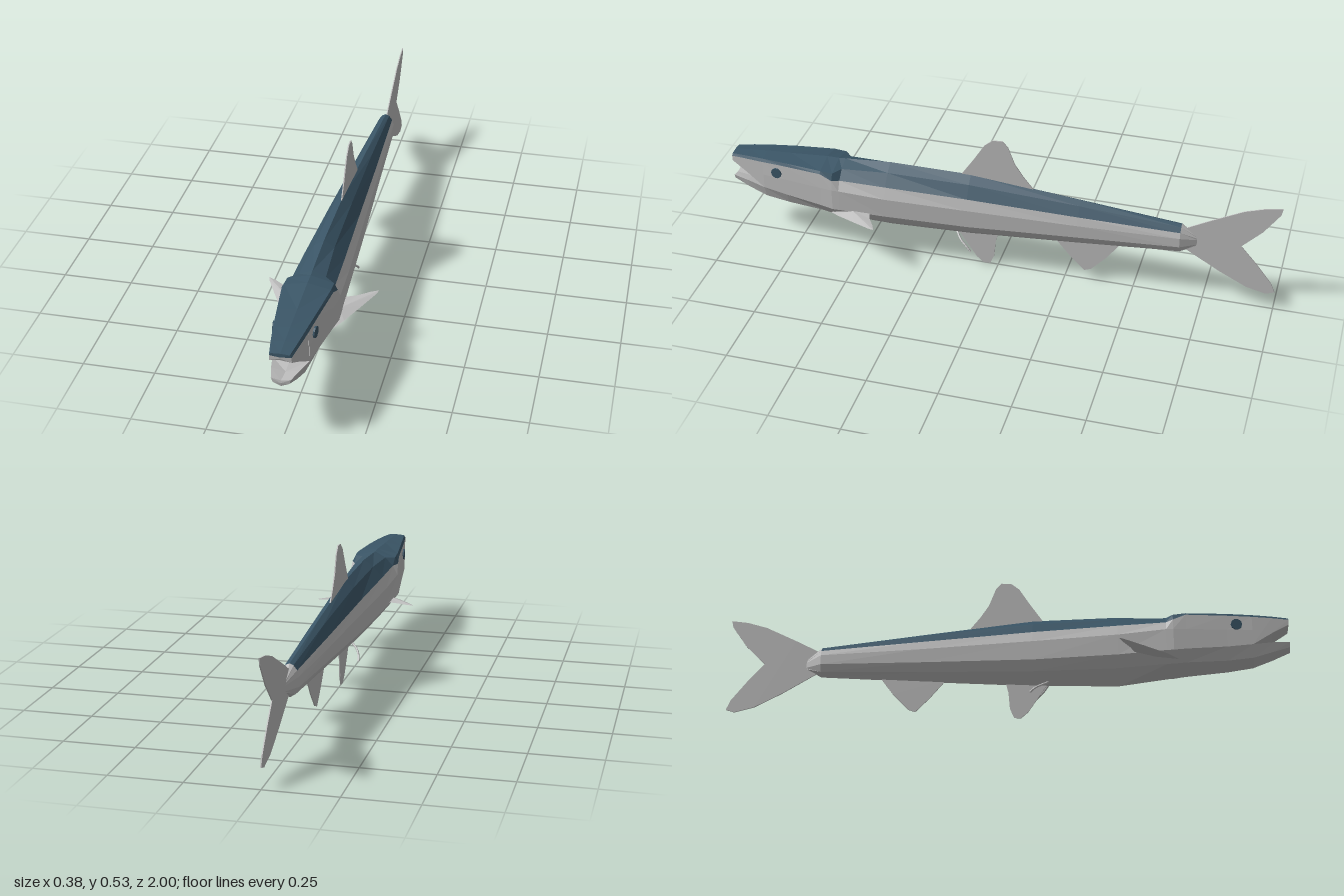
import * as THREE from 'three';

const silver = new THREE.MeshStandardMaterial({ color: 0xbdbdbd, side: THREE.DoubleSide });
silver.name = 'silver';
const slate = new THREE.MeshStandardMaterial({ color: 0x3a5566, side: THREE.DoubleSide });
slate.name = 'slate blue';
for (const m of [silver, slate]) m.flatShading = true;

// Mirrored loft: each section is [z, [x, y], ...] from top to bottom, front to rear.
// Only the strips between points a and b are built.
function loft(name, sections, a, b, material) {
  const pos = [];
  const at = (i, j, s) => [s * sections[i][j + 1][0], sections[i][j + 1][1], sections[i][0]];
  for (const s of [1, -1])
    for (let i = 0; i < sections.length - 1; i++)
      for (let j = a; j < b; j++) {
        const A = at(i, j, s), B = at(i, j + 1, s), C = at(i + 1, j, s), D = at(i + 1, j + 1, s);
        if (s > 0) pos.push(...A, ...B, ...D, ...A, ...D, ...C);
        else pos.push(...A, ...D, ...B, ...A, ...C, ...D);
      }
  return meshFrom(name, pos, material);
}

function meshFrom(name, pos, material) {
  const g = new THREE.BufferGeometry();
  g.setAttribute('position', new THREE.Float32BufferAttribute(pos, 3));
  g.computeVertexNormals();
  return named(name, g, material);
}

function named(name, geometry, material) {
  const mesh = new THREE.Mesh(geometry, material);
  mesh.name = name;
  return mesh;
}

// Thin upright fin on the centre line, outlined by [z, y] points
function fin(name, points) {
  const shape = new THREE.Shape(points.map(([z, y]) => new THREE.Vector2(-z, y)));
  const g = new THREE.ExtrudeGeometry(shape, { depth: 0.004, bevelEnabled: false });
  g.translate(0, 0, -0.002).rotateY(Math.PI / 2);
  return named(name, g, silver);
}

export function createModel() {
  const fish = new THREE.Group();
  fish.name = 'fish';

  // Head and body, with a small step behind the gill covers
  const body = [
    [0.87, [0, 0.347], [0.05, 0.342], [0.057, 0.332], [0.06, 0.28], [0.06, 0.225], [0.045, 0.18], [0, 0.163]],
    [0.78, [0, 0.352], [0.062, 0.345], [0.068, 0.335], [0.07, 0.28], [0.07, 0.215], [0.05, 0.17], [0, 0.148]],
    [0.64, [0, 0.362], [0.078, 0.346], [0.085, 0.337], [0.088, 0.28], [0.088, 0.205], [0.06, 0.165], [0, 0.137]],
    [0.595, [0, 0.362], [0.078, 0.342], [0.09, 0.318], [0.094, 0.28], [0.094, 0.2], [0.065, 0.16], [0, 0.132]],
    [0.57, [0, 0.364], [0.045, 0.346], [0.075, 0.315], [0.093, 0.28], [0.093, 0.2], [0.064, 0.16], [0, 0.13]],
    [0.4, [0, 0.377], [0.035, 0.352], [0.07, 0.312], [0.086, 0.27], [0.083, 0.195], [0.055, 0.155], [0, 0.11]],
    [0.1, [0, 0.376], [0.03, 0.35], [0.058, 0.306], [0.07, 0.265], [0.068, 0.195], [0.045, 0.16], [0, 0.123]],
    [-0.3, [0, 0.338], [0.02, 0.325], [0.042, 0.292], [0.05, 0.26], [0.048, 0.21], [0.03, 0.18], [0, 0.155]],
    [-0.66, [0, 0.302], [0.013, 0.296], [0.025, 0.28], [0.032, 0.26], [0.032, 0.225], [0.02, 0.2], [0, 0.187]],
  ];
  fish.add(loft('back', body, 0, 2, slate), loft('flanks', body, 2, 6, silver));

  // Tail root closing to a point
  const root = body[body.length - 1];
  const tip = [-0.72, ...root.slice(1).map(([, y]) => [0, 0.238 + (y - 0.238) * 0.3])];
  fish.add(loft('tailRoot', [root, tip], 0, 6, silver));

  // Upper jaw: dark snout, silver lip and palate
  const upper = [
    [1, [0, 0.322], [0, 0.322], [0, 0.322], [0, 0.318], [0, 0.318]],
    [0.998, [0, 0.335], [0.03, 0.333], [0.036, 0.325], [0.036, 0.306], [0, 0.311]],
    [0.94, [0, 0.341], [0.04, 0.338], [0.046, 0.329], [0.047, 0.272], [0, 0.28]],
    [0.87, [0, 0.347], [0.05, 0.342], [0.057, 0.332], [0.06, 0.225], [0, 0.23]],
  ];
  fish.add(loft('snout', upper, 0, 2, slate), loft('upperJaw', upper, 2, 4, silver));

  // Lower jaw
  const lower = [
    [1, [0, 0.225], [0, 0.225], [0, 0.225], [0, 0.225]],
    [0.998, [0, 0.234], [0.032, 0.24], [0.026, 0.224], [0, 0.213]],
    [0.94, [0, 0.226], [0.046, 0.236], [0.037, 0.203], [0, 0.189]],
    [0.87, [0, 0.23], [0.06, 0.225], [0.045, 0.18], [0, 0.163]],
  ];
  fish.add(loft('lowerJaw', lower, 0, 3, silver));

  // Centre line fins
  fish.add(
    fin('dorsalFin', [[0.14, 0.365], [0.09, 0.44], [0.05, 0.505], [0.02, 0.53], [-0.015, 0.532],
      [-0.035, 0.51], [-0.06, 0.445], [-0.09, 0.4], [-0.13, 0.35]]),
    fin('bellyFin', [[0.15, 0.13], [0.11, 0.07], [0.08, 0.025], [0.055, 0.003], [0.03, 0.004],
      [0.015, 0.04], [0.01, 0.1], [0.0, 0.14]]),
    fin('analFin', [[-0.21, 0.16], [-0.27, 0.09], [-0.32, 0.04], [-0.345, 0.05], [-0.4, 0.11], [-0.45, 0.18]]),
    fin('tailFin', [[-0.66, 0.28], [-0.76, 0.335], [-0.87, 0.392], [-0.94, 0.415], [-1, 0.425], [-0.995, 0.4],
      [-0.94, 0.32], [-0.87, 0.248], [-0.93, 0.18], [-0.985, 0.11], [-1, 0.075], [-0.97, 0.064],
      [-0.9, 0.08], [-0.8, 0.13], [-0.68, 0.2]]),
  );

  // Paired parts
  for (const s of [1, -1]) {
    const side = s > 0 ? 'left' : 'right';

    // Pectoral fin: a wedge with upper and lower skins over one outline
    const rim = [[0.075, 0.172, 0.61], [0.105, 0.182, 0.57], [0.15, 0.195, 0.49], [0.185, 0.205, 0.425],
      [0.19, 0.208, 0.408], [0.165, 0.206, 0.418], [0.12, 0.202, 0.445], [0.08, 0.2, 0.46]];
    const pos = [];
    for (const lift of [0.012, -0.008]) {
      const hub = [0.08, 0.19 + lift, 0.53];
      for (let i = 0; i < rim.length; i++) {
        const p = rim[i], q = rim[(i + 1) % rim.length];
        const tri = (lift > 0) === (s > 0) ? [hub, p, q] : [hub, q, p];
        for (const [x, y, z] of tri) pos.push(s * x, y, z);
      }
    }
    fish.add(meshFrom(side + 'PectoralFin', pos, silver));

    // Curled belly ray
    const path = new THREE.CatmullRomCurve3([[0.012, 0.13, 0.15], [0.035, 0.112, 0.13], [0.048, 0.094, 0.105],
      [0.052, 0.078, 0.09]].map(([x, y, z]) => new THREE.Vector3(s * x, y, z)));
    fish.add(named(side + 'BellyRay', new THREE.TubeGeometry(path, 8, 0.004, 5), silver));

    // Eye disc
    const eye = named(side + 'Eye', new THREE.CylinderGeometry(0.02, 0.02, 0.008, 10).rotateZ(Math.PI / 2), slate);
    eye.position.set(s * 0.0665, 0.3, 0.815);
    eye.rotation.y = -s * 0.11;
    fish.add(eye);
  }
  return fish;
}
